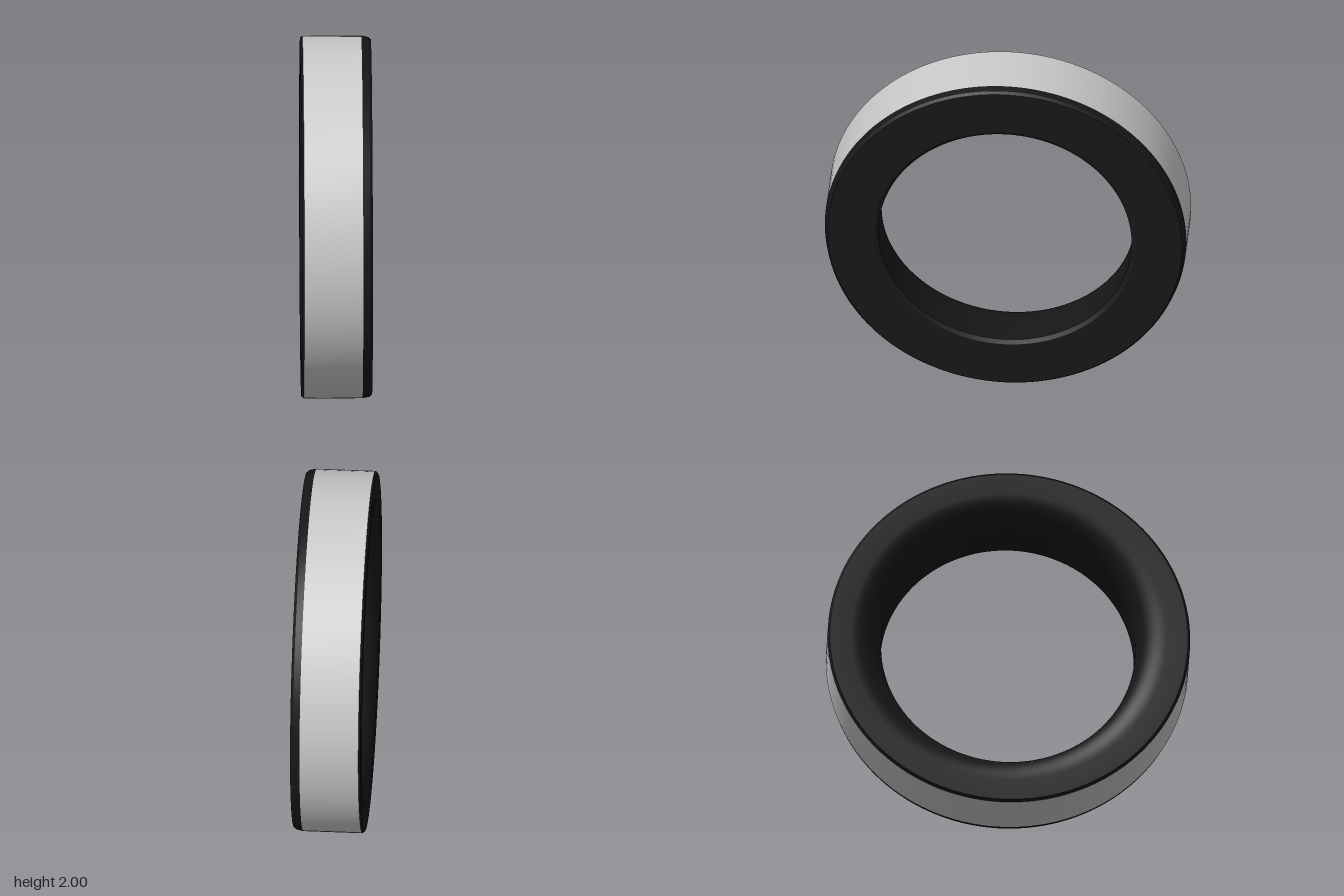
import * as THREE from 'three';
import { toCreasedNormals } from 'three/addons/utils/BufferGeometryUtils.js';

const SEGMENTS = 128;

// Spin a profile of [radius, x] pairs around the x axis
function ringPart(name, profile, color) {
  const points = profile.map(([r, x]) => new THREE.Vector2(r, x));
  const lathe = new THREE.LatheGeometry(points, SEGMENTS);
  lathe.rotateZ(-Math.PI / 2);
  const mesh = new THREE.Mesh(
    toCreasedNormals(lathe, 0.4),
    new THREE.MeshStandardMaterial({ color })
  );
  mesh.name = name;
  mesh.position.y = 1;
  return mesh;
}

export function createModel() {
  const group = new THREE.Group();
  group.name = 'ring';

  const half = 0.195;    // half the width
  const inner = 0.7;     // bore radius
  const fillet = 0.17;   // rounded mouth of the bore on the -x side
  const bandStart = -0.183;
  const bandEnd = 0.142;
  const dark = 0x171717;

  // Grey outer band
  group.add(ringPart('outerBand', [[1, bandStart], [1, bandEnd]], 0xcccccc));

  // Dark bevelled edge, +x face, bore and rounded mouth
  const body = [
    [1, bandEnd], [0.992, 0.18], [0.98, half],
    [0.722, half], [inner, half - 0.015]
  ];
  for (let i = 0; i <= 12; i++) {
    const a = (i / 12) * Math.PI / 2;
    body.push([
      inner + fillet * (1 - Math.cos(a)),
      -half + fillet * (1 - Math.sin(a))
    ]);
  }
  // -x face and its thin outer bevel
  body.push([0.988, -half], [1, bandStart]);
  group.add(ringPart('darkBody', body, dark));

  return group;
}
